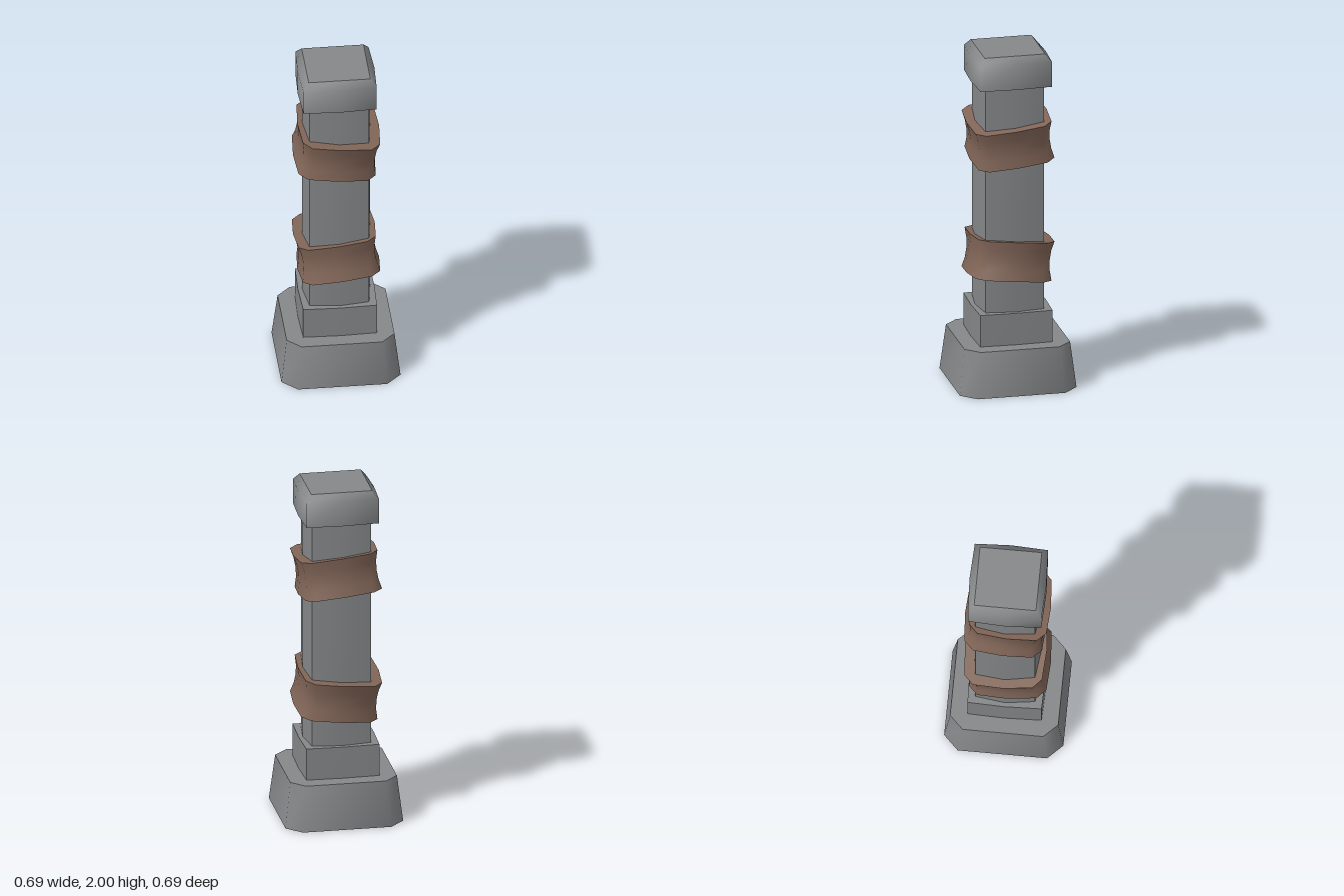
import * as THREE from 'three';
import { mergeGeometries, toCreasedNormals } from 'three/addons/utils/BufferGeometryUtils.js';

// Repeat a quarter outline of [x, z] points around the four sides
function fourSides(quarter) {
  const out = [];
  let q = quarter;
  for (let i = 0; i < 4; i++) {
    out.push(...q);
    q = q.map(([x, z]) => [z, -x]);
  }
  return out;
}
const bowedSquare = (mid, corner) => fourSides([[0, mid], [corner, corner]]);
const cutSquare = (half, cut) => fourSides([[-cut, half], [cut, half]]);

function fromPoints(points) {
  const g = new THREE.BufferGeometry();
  g.setAttribute('position', new THREE.Float32BufferAttribute(points.flat(), 3));
  return g;
}

// Solid through rings of { y, pts }; walls smooth below the crease angle, ends flat
function loft(rings, crease) {
  const walls = [], ends = [];
  const n = rings[0].pts.length;
  const at = (r, i) => {
    const [x, z] = r.pts[i % n];
    return [x, r.y, z];
  };
  const first = rings[0], last = rings[rings.length - 1];
  for (let i = 0; i < n; i++) {
    for (let k = 0; k < rings.length - 1; k++) {
      const a = at(rings[k], i), b = at(rings[k], i + 1);
      const c = at(rings[k + 1], i + 1), d = at(rings[k + 1], i);
      walls.push(a, b, c, a, c, d);
    }
    ends.push([0, last.y, 0], at(last, i), at(last, i + 1));
    ends.push([0, first.y, 0], at(first, i + 1), at(first, i));
  }
  const side = toCreasedNormals(fromPoints(walls), THREE.MathUtils.degToRad(crease));
  const flat = fromPoints(ends);
  flat.computeVertexNormals();
  return mergeGeometries([side, flat]);
}

export function createModel() {
  const stone = new THREE.MeshStandardMaterial({ color: 0x858789 });
  stone.name = 'grey stone';
  const leather = new THREE.MeshStandardMaterial({ color: 0x826658 });
  leather.name = 'brown leather';

  const model = new THREE.Group();
  model.name = 'pillar';
  const add = (name, geometry, material) => {
    const mesh = new THREE.Mesh(geometry, material);
    mesh.name = name;
    model.add(mesh);
    return mesh;
  };

  // Tapered foot with cut corners
  add('base', loft([
    { y: 0, pts: cutSquare(0.343, 0.257) },
    { y: 0.27, pts: cutSquare(0.311, 0.232) },
  ], 50), stone);

  // Step and shaft with slightly bowed sides
  const step = bowedSquare(0.22, 0.213);
  add('plinth', loft([{ y: 0.27, pts: step }, { y: 0.46, pts: step }], 40), stone);
  const column = bowedSquare(0.195, 0.172);
  add('shaft', loft([{ y: 0.46, pts: column }, { y: 1.81, pts: column }], 40), stone);

  // Softly shaded cap with a bevelled top
  const capOutline = bowedSquare(0.221, 0.211);
  add('cap', loft([
    { y: 1.81, pts: capOutline },
    { y: 1.958, pts: capOutline },
    { y: 2, pts: bowedSquare(0.178, 0.178) },
  ], 100), stone);

  // Waisted straps, tilted in opposite directions
  const strapOutline = fourSides([[0, 0.237], [0.172, 0.224], [0.224, 0.172]]);
  const strapRings = [-1, -0.5, 0, 0.5, 1].map((t) => {
    const s = 0.925 + 0.075 * t * t;
    return { y: 0.115 * t, pts: strapOutline.map(([x, z]) => [x * s, z * s]) };
  });
  const strapGeometry = loft(strapRings, 60);
  for (const [name, y, tilt] of [['upperStrap', 1.473, 0.1], ['lowerStrap', 0.748, -0.1]]) {
    const strap = add(name, strapGeometry, leather);
    strap.position.y = y;
    strap.rotation.set(tilt, 0, -tilt);
  }
  return model;
}
